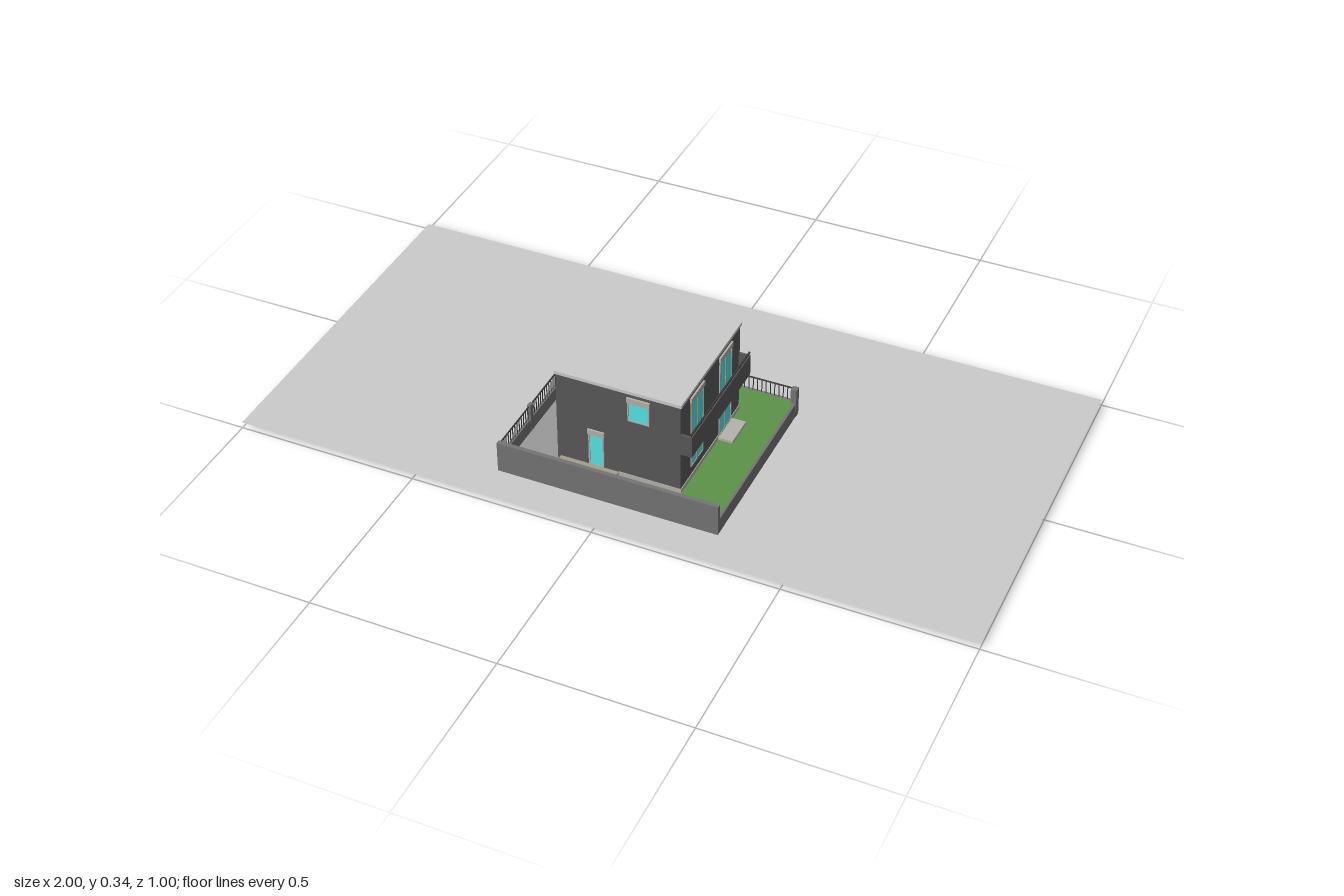
import * as THREE from 'three';

const mat = (color) => new THREE.MeshStandardMaterial({ color });
const M = {
  grey: mat(0xcccccc), house: mat(0x595959), wall: mat(0x757575), trim: mat(0xb4b2a8),
  glass: mat(0x55e6e6), grass: mat(0x5c9448), drive: mat(0x999999), stone: mat(0xa39f8c),
  iron: mat(0x3c3c3c), door: mat(0x8a5a44),
};

export function createModel() {
  const root = new THREE.Group();
  const group = (name, parent = root) => {
    const g = new THREE.Group();
    g.name = name;
    parent.add(g);
    return g;
  };
  // box given by its extents on each axis
  const box = (name, m, x0, x1, y0, y1, z0, z1, parent = root) => {
    const mesh = new THREE.Mesh(new THREE.BoxGeometry(x1 - x0, y1 - y0, z1 - z0), m);
    mesh.position.set((x0 + x1) / 2, (y0 + y1) / 2, (z0 + z1) / 2);
    mesh.name = name;
    parent.add(mesh);
    return mesh;
  };

  // street level sheet
  const ground = new THREE.Mesh(new THREE.PlaneGeometry(2, 1),
    new THREE.MeshStandardMaterial({ color: 0xcccccc, side: THREE.DoubleSide }));
  ground.rotation.x = -Math.PI / 2;
  ground.position.y = 0.017;
  ground.name = 'ground';
  root.add(ground);

  // driveway, garden and paving
  box('driveway', M.drive, -0.303, -0.165, 0.014, 0.021, -0.122, 0.39);
  box('sideGarden', M.grass, 0.165, 0.288, 0.017, 0.06, -0.115, 0.39);
  box('frontGarden', M.grass, 0, 0.165, 0.017, 0.06, 0.33, 0.39);
  box('backGarden', M.grass, 0.02, 0.165, 0.017, 0.06, -0.115, 0);
  box('entrancePath', M.grey, -0.08, 0.02, 0.017, 0.06, -0.12, 0);
  box('frontTerrace', M.stone, -0.16, 0, 0.017, 0.07, 0.335, 0.388);

  // steps from the driveway up to the terrace and the entrance
  const steps = group('steps');
  for (let i = 0; i < 4; i++) {
    const y = 0.06 - i * 0.011;
    box('frontStep', M.stone, -0.17 - i * 0.01, -0.16 - i * 0.01, 0.003, y, 0.338, 0.385, steps);
    box('backStep', M.grey, -0.09 - i * 0.01, -0.08 - i * 0.01, 0.012, y - 0.003, -0.11, -0.042, steps);
  }
  box('stairFooting', M.stone, -0.22, -0.03, 0, 0.016, 0.338, 0.385, steps);

  // porch slab with one rounded corner
  const s = new THREE.Shape();
  s.moveTo(0.0, 0.01);
  s.lineTo(0.0, -0.042);
  s.lineTo(-0.135, -0.042);
  s.quadraticCurveTo(-0.168, -0.042, -0.168, -0.01);
  s.lineTo(-0.168, 0.01);
  const porch = new THREE.Mesh(new THREE.ExtrudeGeometry(s, { depth: 0.055, bevelEnabled: false }), M.stone);
  porch.rotation.x = Math.PI / 2;
  porch.position.y = 0.07;
  porch.name = 'porch';
  root.add(porch);

  // footings under the house
  const foot = group('footings');
  for (const x of [-0.165, 0.155]) box('footing', M.trim, x, x + 0.01, 0.005, 0.017, -0.025, 0.335, foot);
  for (const z of [-0.025, 0.325]) box('footing', M.trim, -0.155, 0.155, 0.005, 0.017, z, z + 0.01, foot);

  // house body: main block plus the projecting half at the back
  box('mainBlock', M.house, -0.168, 0.168, 0.017, 0.326, 0, 0.338);
  box('backBlock', M.house, 0, 0.168, 0.017, 0.326, -0.028, 0);
  box('plinth', M.trim, 0, 0.17, 0.055, 0.072, -0.03, 0.34);
  box('mainRoof', M.grey, -0.171, 0.171, 0.326, 0.335, -0.003, 0.341);
  box('backRoof', M.grey, -0.003, 0.171, 0.326, 0.335, -0.031, -0.003);

  // balconies: floor, parapet and handrail
  const sideBalcony = group('sideBalcony');
  box('floor', M.house, 0.168, 0.198, 0.182, 0.19, -0.028, 0.338, sideBalcony);
  box('parapet', M.house, 0.192, 0.198, 0.19, 0.243, -0.028, 0.338, sideBalcony);
  for (const z of [-0.028, 0.332]) box('endParapet', M.house, 0.168, 0.192, 0.19, 0.243, z, z + 0.006, sideBalcony);
  box('handrail', M.iron, 0.193, 0.197, 0.248, 0.252, -0.028, 0.338, sideBalcony);
  for (let i = 0; i < 7; i++) {
    const z = -0.026 + i * 0.06;
    box('railPost', M.iron, 0.194, 0.196, 0.243, 0.248, z, z + 0.002, sideBalcony);
  }
  const backBalcony = group('backBalcony');
  box('floor', M.house, -0.168, 0, 0.182, 0.19, -0.03, 0, backBalcony);
  box('parapet', M.house, -0.168, 0, 0.19, 0.243, -0.03, -0.024, backBalcony);
  box('endParapet', M.house, -0.168, -0.162, 0.19, 0.243, -0.024, 0, backBalcony);
  box('handrail', M.iron, -0.168, 0, 0.248, 0.252, -0.029, -0.025, backBalcony);

  // window on the xy plane facing +z: frame, panes and shutter box, then turned to its wall
  const opening = (name, w, y0, y1, panes, pos, turn, shutter = true, frame = M.trim) => {
    const g = group(name);
    const f = 0.004, top = shutter ? y1 - 0.014 : y1, pw = (w - f * (panes + 1)) / panes;
    for (let i = 0; i <= panes; i++) {
      const x = -w / 2 + i * (pw + f);
      box('frame', frame, x, x + f, y0, top, -0.002, 0.003, g);
      if (i < panes) box('pane', M.glass, x + f, x + f + pw, y0 + f, top - f, -0.002, 0.0015, g);
    }
    for (const y of [y0, top - f]) box('frame', frame, -w / 2, w / 2, y, y + f, -0.002, 0.0029, g);
    if (shutter) box('shutterBox', M.trim, -w / 2 - 0.002, w / 2 + 0.002, top, y1, -0.002, 0.005, g);
    g.position.set(pos[0], 0, pos[1]);
    g.rotation.y = turn;
  };
  const R = Math.PI / 2;
  // right wall
  for (const z of [0.242, 0.066]) opening('balconyWindow', 0.076, 0.195, 0.315, 2, [0.168, z], R);
  opening('sideWindow', 0.074, 0.098, 0.167, 2, [0.168, 0.242], R);
  opening('gardenDoor', 0.076, 0.066, 0.18, 2, [0.168, 0.066], R);
  box('gardenDoorStep', M.trim, 0.168, 0.21, 0.055, 0.067, 0.022, 0.11);
  // front wall
  opening('frontWindow', 0.058, 0.243, 0.315, 1, [0.056, 0.338], 0);
  opening('frontDoor', 0.042, 0.07, 0.182, 1, [-0.06, 0.338], 0);
  // back wall
  opening('backWindow', 0.07, 0.245, 0.315, 2, [0.1, -0.028], 2 * R);
  opening('backGardenDoor', 0.07, 0.085, 0.18, 2, [0.1, -0.028], 2 * R);
  opening('backBalconyDoor', 0.12, 0.195, 0.315, 3, [-0.085, 0], 2 * R);
  opening('entranceDoor', 0.042, 0.07, 0.175, 1, [-0.035, 0], 2 * R, false, M.door);
  opening('porchWindow', 0.065, 0.1, 0.168, 2, [-0.115, 0], 2 * R);
  // left wall
  opening('leftUpperWindow', 0.058, 0.245, 0.315, 2, [-0.168, 0.08], -R);
  opening('leftLowerWindow', 0.058, 0.1, 0.168, 2, [-0.168, 0.08], -R);
  opening('leftNarrowWindow', 0.034, 0.25, 0.315, 1, [-0.168, 0.25], -R, false);
  for (const z of [0.215, 0.285]) opening('leftSmallWindow', 0.045, 0.11, 0.135, 1, [-0.168, z], -R, false);

  // boundary walls
  const walls = group('boundaryWalls');
  box('frontWall', M.wall, -0.308, 0.295, 0.016, 0.105, 0.388, 0.4, walls);
  box('rightWall', M.wall, 0.287, 0.295, 0.016, 0.06, -0.122, 0.39, walls);
  box('leftWall', M.wall, -0.308, -0.3, 0.016, 0.06, -0.122, 0.39, walls);
  box('backWall', M.wall, 0.02, 0.295, 0.016, 0.06, -0.122, -0.114, walls);
  box('gatePier', M.wall, -0.155, -0.135, 0.016, 0.105, -0.124, -0.108, walls);
  box('gatePier', M.wall, -0.135, -0.08, 0.016, 0.06, -0.122, -0.114, walls);
  box('backPier', M.wall, 0.28, 0.296, 0.016, 0.102, -0.124, -0.106, walls);
  box('backPier', M.wall, 0.014, 0.026, 0.016, 0.102, -0.124, -0.112, walls);
  for (const z of [-0.124, 0.045, 0.215]) box('leftPier', M.wall, -0.309, -0.299, 0.016, 0.103, z, z + 0.016, walls);

  // iron fences on the back and left walls
  const fence = group('fences');
  box('backRail', M.iron, -0.135, 0.28, 0.097, 0.1, -0.12, -0.117, fence);
  for (let x = -0.13; x < 0.28; x += 0.012) box('bar', M.iron, x, x + 0.002, 0.058, 0.1, -0.119, -0.117, fence);
  box('leftRail', M.iron, -0.306, -0.303, 0.097, 0.1, -0.11, 0.39, fence);
  for (let z = -0.1; z < 0.385; z += 0.012) box('bar', M.iron, -0.305, -0.303, 0.058, 0.1, z, z + 0.002, fence);

  return root;
}
